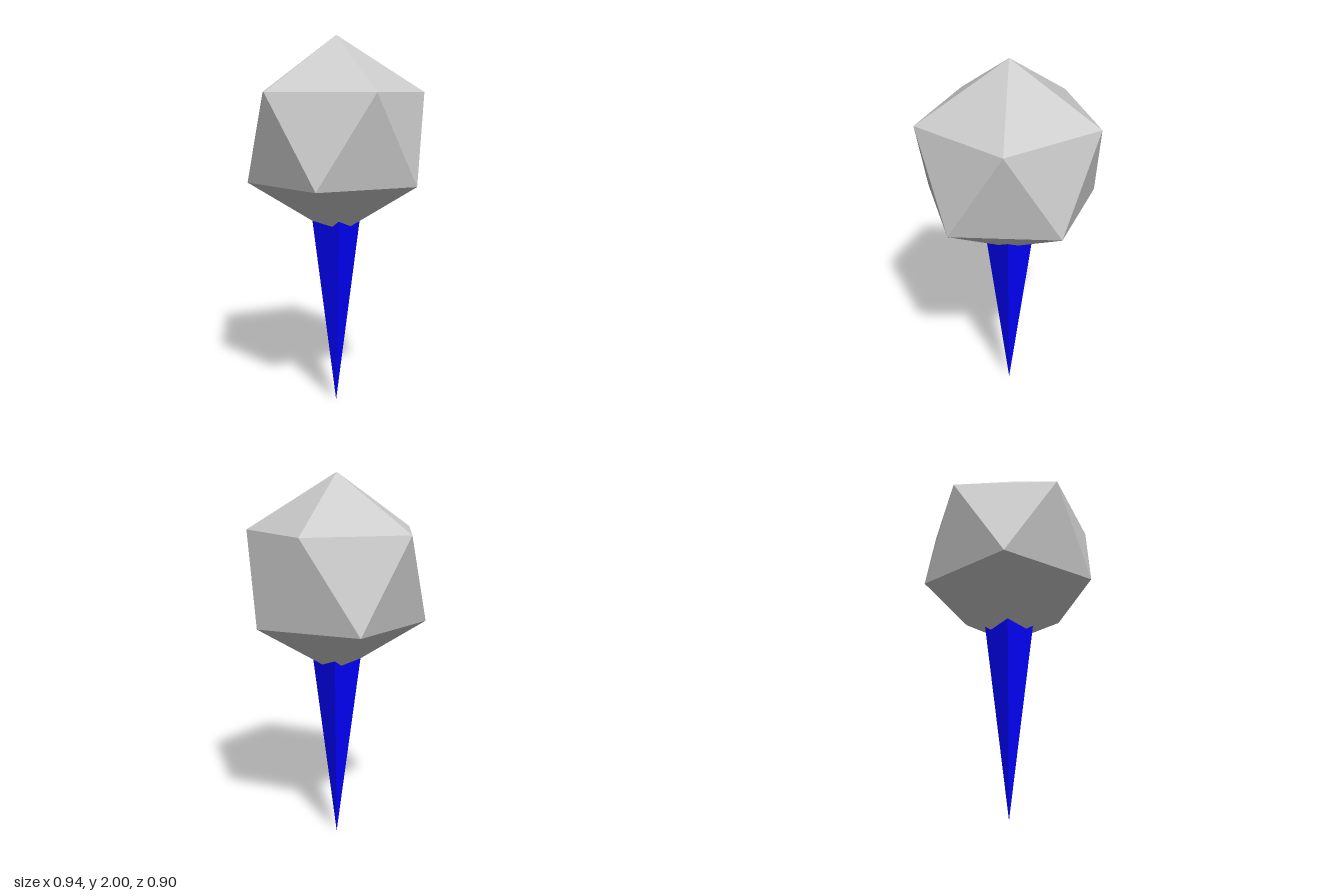
import * as THREE from 'three';

const HEAD_RADIUS = 0.5263;
const SPIKE_HEIGHT = 1.0526;
const SPIKE_RADIUS = 0.1316;

export function createModel() {
  const group = new THREE.Group();
  group.name = 'mapPin';

  // Faceted head: icosahedron turned so one corner points up and an upper-ring corner points to +x
  const headGeometry = new THREE.IcosahedronGeometry(HEAD_RADIUS, 0);
  headGeometry.rotateX(-Math.atan((1 + Math.sqrt(5)) / 2));
  headGeometry.rotateY(Math.PI / 2);
  const head = new THREE.Mesh(
    headGeometry,
    new THREE.MeshStandardMaterial({ color: 0xcccccc, flatShading: true })
  );
  head.name = 'head';
  head.position.y = 2 - HEAD_RADIUS;
  group.add(head);

  // Four-sided spike, point down, its top tucked into the head
  const spikeGeometry = new THREE.ConeGeometry(SPIKE_RADIUS, SPIKE_HEIGHT, 4);
  spikeGeometry.rotateX(Math.PI);
  const spike = new THREE.Mesh(
    spikeGeometry,
    new THREE.MeshStandardMaterial({ color: 0x0000ff, flatShading: true })
  );
  spike.name = 'spike';
  spike.position.y = SPIKE_HEIGHT / 2;
  group.add(spike);

  return group;
}
